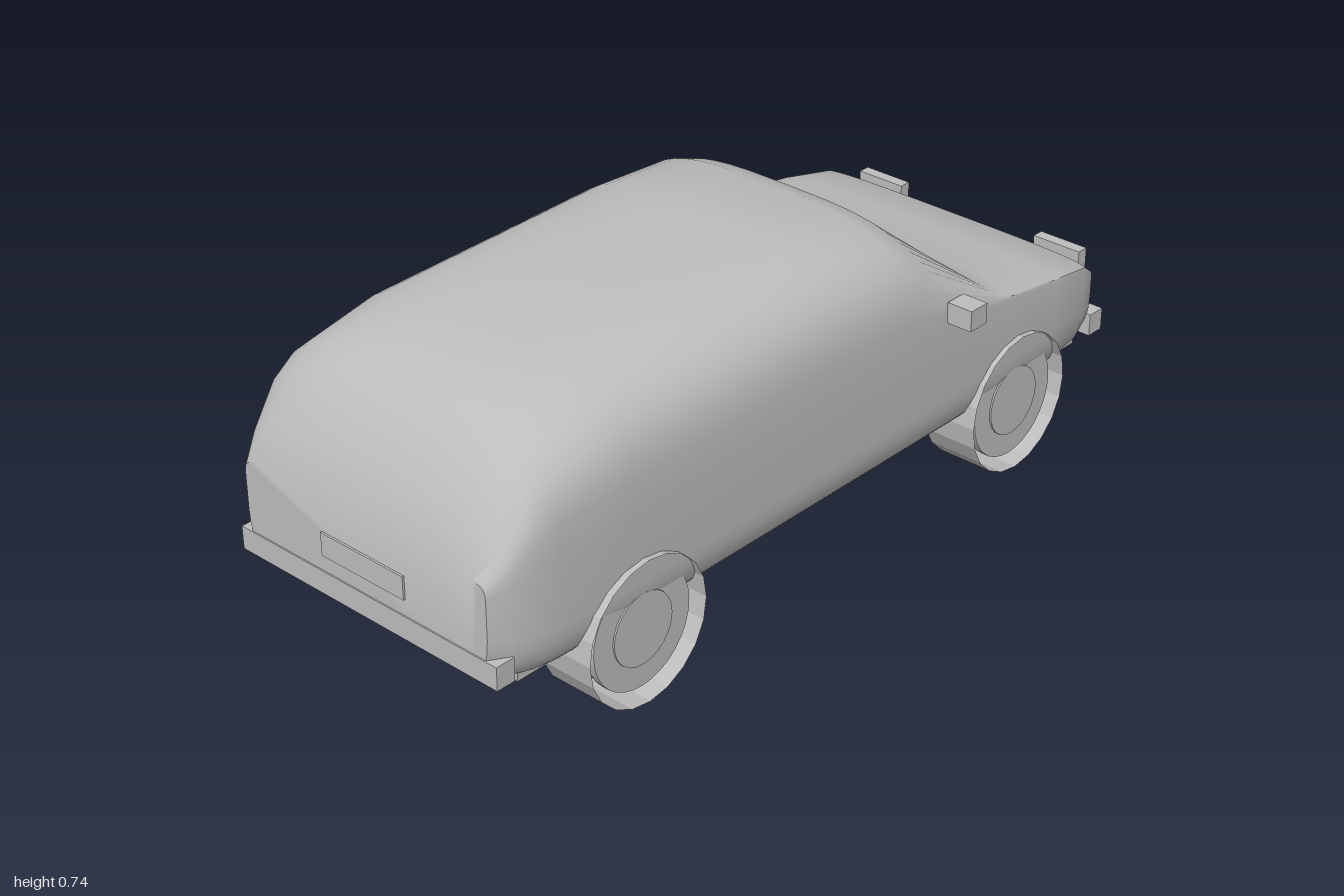
import * as THREE from 'three';
import { toCreasedNormals } from 'three/addons/utils/BufferGeometryUtils.js';

const paint = new THREE.MeshStandardMaterial({ color: 0xbdbdbd });
paint.name = 'plain grey';
const paintDouble = paint.clone();
paintDouble.side = THREE.DoubleSide;

// Body stations along x: [x, floor, belt, roof, half width]
const stations = [
  [-0.995, 0.21, 0.40, 0.45, 0.35],
  [-0.95, 0.195, 0.42, 0.535, 0.375],
  [-0.89, 0.187, 0.44, 0.645, 0.39],
  [-0.84, 0.185, 0.45, 0.68, 0.398],
  [-0.64, 0.185, 0.45, 0.725, 0.406],
  [0, 0.185, 0.45, 0.742, 0.407],
  [0.22, 0.185, 0.45, 0.727, 0.407],
  [0.28, 0.185, 0.45, 0.705, 0.407],
  [0.53, 0.185, 0.45, 0.495, 0.407],
  [0.58, 0.185, 0.445, 0.475, 0.407],
  [0.75, 0.185, 0.42, 0.443, 0.404],
  [0.89, 0.187, 0.395, 0.415, 0.39],
  [0.95, 0.195, 0.355, 0.37, 0.37],
  [0.995, 0.205, 0.32, 0.335, 0.333],
];

// Closed cross-section: rounded sills and a squarish rounded roof
function section([x, floor, belt, roof, w]) {
  const half = [];
  for (let k = 0; k <= 5; k++) {
    const t = (k / 5) * Math.PI / 2;
    half.push([w - 0.045 + 0.045 * Math.sin(t), floor + 0.1 * (1 - Math.cos(t))]);
  }
  for (let k = 0; k <= 14; k++) {
    const t = (k / 14) * Math.PI / 2, p = 2 / 3.4;
    half.push([
      w * Math.pow(Math.max(0, Math.cos(t)), p),
      belt + (roof - belt) * Math.pow(Math.sin(t), p),
    ]);
  }
  half[half.length - 1][0] = 0;
  const other = half.slice(0, -1).reverse().map(([z, y]) => [-z, y]);
  return [...half, ...other].map(([z, y]) => [x, y, z]);
}

function bodyGeometry() {
  const rings = stations.map(section);
  const n = rings[0].length;
  const points = rings.flat();
  const index = [];
  for (let i = 0; i < rings.length - 1; i++) {
    for (let j = 0; j < n; j++) {
      const a = i * n + j, b = i * n + (j + 1) % n;
      index.push(a, a + n, b, b, a + n, b + n);
    }
  }
  // flat nose and tail
  const last = (rings.length - 1) * n;
  for (let j = 1; j < n - 1; j++) {
    index.push(0, j, j + 1);
    index.push(last, last + j + 1, last + j);
  }
  const g = new THREE.BufferGeometry();
  g.setAttribute('position', new THREE.Float32BufferAttribute(points.flat(), 3));
  g.setIndex(index);
  return toCreasedNormals(g, 0.6);
}

function add(parent, name, geometry, material = paint) {
  const mesh = new THREE.Mesh(geometry, material);
  mesh.name = name;
  parent.add(mesh);
  return mesh;
}

// Box given by its low and high corners
function box(parent, name, [x0, x1], [y0, y1], [z0, z1]) {
  const mesh = add(parent, name, new THREE.BoxGeometry(x1 - x0, y1 - y0, z1 - z0));
  mesh.position.set((x0 + x1) / 2, (y0 + y1) / 2, (z0 + z1) / 2);
  return mesh;
}

// Wheel with an open tyre, a rim disc and a raised hub cap, facing +z
function createWheel() {
  const wheel = new THREE.Group();
  wheel.name = 'wheel';
  const tyre = add(wheel, 'tyre',
    toCreasedNormals(new THREE.CylinderGeometry(0.17, 0.17, 0.14, 20, 1, true), 0.1), paintDouble);
  tyre.rotation.x = Math.PI / 2;
  const rim = add(wheel, 'rim', new THREE.CylinderGeometry(0.14, 0.14, 0.02, 32));
  rim.rotation.x = Math.PI / 2;
  rim.position.z = 0.04;
  const hub = add(wheel, 'hubCap', new THREE.CylinderGeometry(0.085, 0.085, 0.01, 24));
  hub.rotation.x = Math.PI / 2;
  hub.position.z = 0.049;
  return wheel;
}

export function createModel() {
  const car = new THREE.Group();
  car.name = 'car';

  add(car, 'body', bodyGeometry());
  box(car, 'floorPan', [-0.92, 0.92], [0.175, 0.2], [-0.35, 0.35]);

  // Bumpers, grille and plates
  box(car, 'frontBumper', [0.945, 0.993], [0.195, 0.25], [-0.378, 0.378]);
  box(car, 'rearBumper', [-0.998, -0.95], [0.205, 0.26], [-0.375, 0.375]);
  box(car, 'grille', [0.992, 1], [0.268, 0.332], [-0.13, 0.13]);
  box(car, 'frontPlate', [0.992, 1], [0.205, 0.255], [-0.12, 0.12]);
  box(car, 'rearPlate', [-1, -0.992], [0.3, 0.355], [-0.12, 0.12]);

  for (const side of [1, -1]) {
    const span = (a, b) => (side > 0 ? [a, b] : [-b, -a]);
    box(car, 'headlight', [0.95, 0.98], [0.345, 0.398], span(0.2, 0.33));
    box(car, 'mirror', [0.345, 0.4], [0.48, 0.53], span(0.405, 0.47));
    for (const x of [-0.62, 0.615]) {
      const wheel = createWheel();
      wheel.position.set(x, 0.17, side * 0.35);
      if (side < 0) wheel.rotation.y = Math.PI;
      car.add(wheel);
    }
  }
  return car;
}
